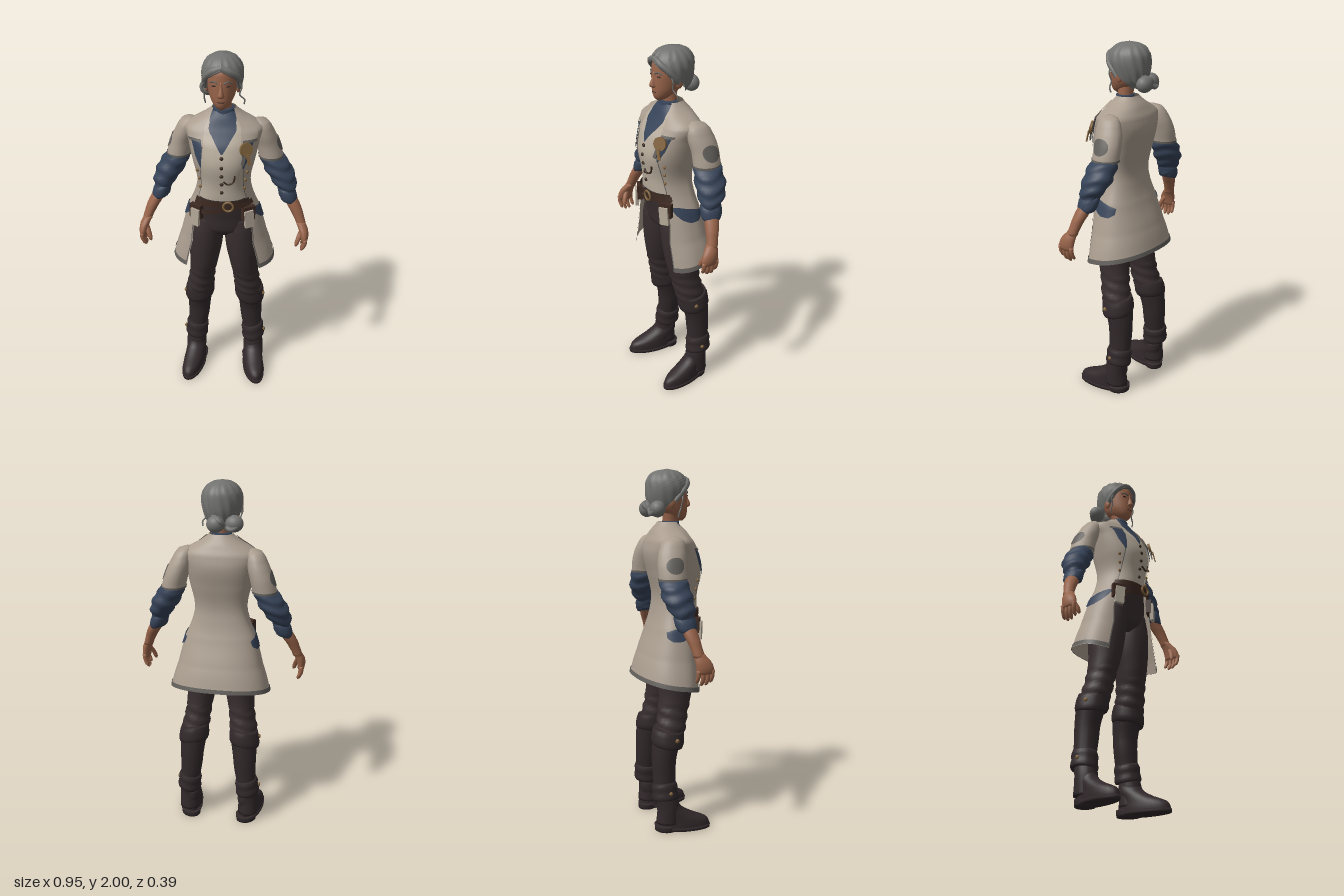
import * as THREE from 'three';

const mat = {};
for (const [name, color] of Object.entries({
  coat: 0xaa9d8f, shirt: 0x364358, skin: 0x98644a, hair: 0x727270, trousers: 0x382e2f,
  boots: 0x31282a, leather: 0x3d2a22, brass: 0x80623c, trim: 0x63605c, cream: 0xb5aa9a })) {
  mat[name] = new THREE.MeshStandardMaterial({ color, side: THREE.DoubleSide });
  mat[name].name = name;
}

// Surface through rows [y, x, z, rx, rzFront, rzBack], rows going up; angle 0 faces +z, PI/2 faces +x
function surf(rows, e = 1) {
  const r = rows.map(q => [...q.slice(0, 5), q[5] ?? q[4]]);
  return (y, a, off = 0) => {
    let i = 0;
    while (i < r.length - 2 && y > r[i + 1][0]) i++;
    const t = (y - r[i][0]) / (r[i + 1][0] - r[i][0]);
    const k = [1, 2, 3, 4, 5].map(c => {
      const p = j => r[Math.min(r.length - 1, Math.max(0, j))][c];
      const [p0, p1, p2, p3] = [p(i - 1), p(i), p(i + 1), p(i + 2)];
      return 0.5 * (2 * p1 + (p2 - p0) * t + (2 * p0 - 5 * p1 + 4 * p2 - p3) * t * t + (3 * p1 - p0 - 3 * p2 + p3) * t ** 3);
    });
    const o = typeof off === 'function' ? off(y, a) : off;
    const s = Math.sin(a), c = Math.cos(a), pw = v => Math.sign(v) * Math.abs(v) ** e;
    return new THREE.Vector3(k[0] + (k[2] + o) * pw(s), y, k[1] + ((c > 0 ? k[3] : k[4]) + o) * pw(c));
  };
}

// Strip of a surface between angles; spans are [y, a0, a1] going up
function panel(S, spans, off = 0, { n = 24, closed = false, warp } = {}) {
  const levels = [];
  spans.forEach((q, i) => {
    if (i === spans.length - 1) return levels.push(q);
    const w = spans[i + 1], m = Math.max(1, Math.ceil((w[0] - q[0]) / 0.014));
    for (let j = 0; j < m; j++) levels.push(q.map((v, c) => v + (w[c] - v) * j / m));
  });
  const pos = [], idx = [], cols = closed ? n : n + 1;
  for (const [y, a0, a1] of levels) for (let i = 0; i < cols; i++) {
    const a = a0 + (a1 - a0) * i / n, v = S(y, a, off);
    if (warp) warp(v, a);
    pos.push(v.x, v.y, v.z);
  }
  for (let j = 0; j < levels.length - 1; j++) for (let i = 0; i < n; i++) {
    const a = j * cols + i, b = j * cols + (i + 1) % cols;
    idx.push(a, b, b + cols, a, b + cols, a + cols);
  }
  if (closed) for (const j of [0, levels.length - 1]) {
    const c = pos.length / 3, sum = [0, 0, 0];
    for (let i = 0; i < n; i++) for (let k = 0; k < 3; k++) sum[k] += pos[(j * n + i) * 3 + k] / n;
    pos.push(...sum);
    for (let i = 0; i < n; i++) {
      const a = j * n + i, b = j * n + (i + 1) % n;
      j ? idx.push(a, b, c) : idx.push(b, a, c);
    }
  }
  const g = new THREE.BufferGeometry();
  g.setAttribute('position', new THREE.Float32BufferAttribute(pos, 3));
  g.setIndex(idx);
  g.computeVertexNormals();
  return g;
}
const loft = (rows, off = 0, o = {}) =>
  panel(surf(rows), rows.map(q => [q[0], 0, Math.PI * 2]), off, { n: 20, closed: true, ...o });
const flip = (rows, s) => rows.map(([y, x, ...q]) => [y, x * s, ...q]);
const spot = (y, a, h, w) => Array.from({ length: 13 }, (_, i) => {
  const t = Math.PI * (1 - i / 12), d = w * Math.sin(t);
  return [y + h * Math.cos(t), a - d, a + d];
});

export function createModel() {
  const root = new THREE.Group();
  root.name = 'character';
  const add = (name, geo, m, p) => {
    const mesh = new THREE.Mesh(geo, mat[m]);
    mesh.name = name;
    if (p) mesh.position.set(...p);
    root.add(mesh);
    return mesh;
  };
  const ball = (name, m, p, s) => add(name, new THREE.SphereGeometry(1, 20, 14), m, p).scale.set(...s);
  const tube = (name, m, pts, r) => add(name, new THREE.TubeGeometry(
    new THREE.CatmullRomCurve3(pts.map(p => new THREE.Vector3(...p))), 20, r, 8), m);
  const both = f => [1, -1].forEach(f);
  const span = (rows, s) => rows.map(([y, a, b]) => s > 0 ? [y, a, b] : [y, -b, -a]);

  // Torso form shared by coat, waistcoat and shirt
  const body = surf([[0.82, 0, 0, 0.29, 0.15, 0.205], [0.9, 0, 0, 0.275, 0.15, 0.19], [1.0, 0, 0, 0.24, 0.15, 0.16],
    [1.15, 0, 0, 0.195, 0.155, 0.11], [1.25, 0, 0, 0.155, 0.165, 0.085], [1.33, 0, 0, 0.145, 0.17, 0.08],
    [1.45, 0, 0, 0.17, 0.187, 0.105], [1.55, 0, 0, 0.19, 0.16, 0.125], [1.62, 0, 0, 0.205, 0.115, 0.115],
    [1.65, 0, 0, 0.165, 0.095, 0.1], [1.68, 0, 0, 0.11, 0.08, 0.085], [1.72, 0, 0.005, 0.062, 0.05, 0.06]], 0.87);
  const hang = (v, a) => { v.y -= 0.038 * (Math.cos(a) + 1) * THREE.MathUtils.clamp((1.1 - v.y) / 0.22, 0, 1); };
  const edge = [[0.87, 0.75], [1.0, 0.71], [1.15, 0.82], [1.26, 0.88], [1.34, 0.78], [1.45, 0.62], [1.55, 0.48],
    [1.62, 0.42], [1.68, 0.62], [1.72, 1.0]];
  const TAU = Math.PI * 2;
  add('coat', panel(body, edge.map(([y, a]) => [y, a, TAU - a]), 0, { n: 72, warp: hang }), 'coat');
  add('coatHem', panel(body, [[0.87, 0.75, TAU - 0.75], [0.893, 0.745, TAU - 0.745]], 0.004, { n: 72, warp: hang }), 'trim');
  add('waistcoat', panel(body, [[1.245, -1.2, 1.2], [1.4, -1.1, 1.1], [1.62, -1, 1], [1.7, -1.2, 1.2]], -0.006, { n: 40 }), 'cream');
  add('shirtFront', panel(body, [[1.52, -0.01, 0.01], [1.6, -0.22, 0.22], [1.66, -0.42, 0.42], [1.71, -0.9, 0.9]], -0.001), 'shirt');
  add('shirtCollar', loft([[1.64, 0, 0.012, 0.07, 0.065, 0.05], [1.68, 0, 0.015, 0.058, 0.055, 0.045],
    [1.725, 0, 0.018, 0.055, 0.045, 0.045]]), 'shirt');
  both(s => {
    add('shirtPanel', panel(body, span([[1.44, 0.62, 0.66], [1.5, 0.54, 0.82], [1.58, 0.5, 0.9], [1.605, 0.66, 0.8]], s), 0.005), 'shirt');
    add('lapel', panel(body, span([[1.585, 0.52, 0.95], [1.62, 0.42, 0.95], [1.655, 0.5, 1.0], [1.7, 0.85, 1.3]], s), 0.01), 'coat');
    add('lapelTrim', panel(body, span([[1.572, 0.5, 0.96], [1.585, 0.5, 0.97]], s), 0.011), 'trim');
    add('coatEdge', panel(body, span(edge.slice(0, 7).map(([y, a]) => [y, a, a + 0.03]), s), 0.004, { n: 3, warp: hang }), 'trim');
    add('pocketFlap', panel(body, span([[1.09, 1.5, 1.8], [1.11, 1.25, 2.05], [1.14, 1.05, 2.1], [1.165, 0.95, 1.5], [1.18, 0.95, 1.15]], s), 0.006), 'shirt');
    for (const y of [1.41, 1.36, 1.31]) ball('coatButton', 'brass', body(y, 0.87 * s, 0.004).toArray(), [0.009, 0.009, 0.007]);
  });
  for (const y of [1.5, 1.45, 1.4, 1.35, 1.3]) ball('button', 'leather', body(y, 0, -0.003).toArray(), [0.01, 0.01, 0.007]);
  tube('watchChain', 'leather', [[0.01, 1.37, 0.178], [0.035, 1.355, 0.178], [0.06, 1.365, 0.17], [0.07, 1.4, 0.17]], 0.005);

  // Rosette on the chest
  const badge = add('badge', new THREE.CylinderGeometry(0.036, 0.036, 0.014, 20), 'brass', [0.125, 1.545, 0.15]);
  badge.rotation.set(1.3, 0, -0.5);
  [-0.012, 0.014].forEach((d, i) => {
    const tail = add('badgeRibbon', new THREE.BoxGeometry(0.018, 0.06, 0.005), i ? 'brass' : 'trim', [0.125 + d, 1.495, 0.168]);
    tail.rotation.set(-0.2, 0.4, i ? 0.25 : -0.2);
  });

  // Hips, belts and pouches
  const hips = [[0.99, 0, 0.01, 0.08, 0.07, 0.07], [1.03, 0, 0.01, 0.165, 0.11, 0.1], [1.12, 0, 0, 0.178, 0.135, 0.1],
    [1.2, 0, 0, 0.16, 0.15, 0.085], [1.27, 0, 0, 0.14, 0.155, 0.075]];
  add('trouserHips', loft(hips, 0, { n: 32 }), 'trousers');
  const belt = (name, tilt, y, h, off) => add(name, panel(body, [[y, -1.0, 1.0], [y + h, -1.0, 1.0]], off,
    { n: 32, warp: v => { v.y += tilt * v.x; } }), 'leather');
  belt('belt', 0, 1.205, 0.042, 0.006);
  belt('slungBelt', 0.22, 1.18, 0.03, 0.011);
  add('beltBuckle', new THREE.TorusGeometry(0.026, 0.006, 8, 24), 'brass', [0.035, 1.222, 0.177]);
  both(s => {
    const pouch = add('pouch', new THREE.BoxGeometry(0.07, 0.08, 0.03), 'leather', [0.14 * s, 1.165, 0.125]);
    const note = add('notebook', new THREE.BoxGeometry(0.052, 0.1, 0.02), 'cream', [0.145 * s, 1.135, 0.14]);
    pouch.rotation.y = note.rotation.y = 0.5 * s;
    note.rotation.z = 0.08 * s;
  });

  both(s => {
    const L = (name, m, rows, off, o) => add(name, loft(flip(rows, s), off, o), m);
    // Arms
    const upper = [[1.425, 0.25, -0.055, 0.066, 0.075], [1.5, 0.232, -0.055, 0.064, 0.076], [1.56, 0.212, -0.045, 0.06, 0.076],
      [1.61, 0.197, -0.035, 0.05, 0.066], [1.637, 0.188, -0.03, 0.038, 0.048], [1.648, 0.178, -0.025, 0.015, 0.02]];
    L('coatSleeve', 'coat', upper);
    const patchS = surf(flip(upper, s));
    add('sleeveCuffTrim', panel(patchS, [[1.425, 0, TAU], [1.437, 0, TAU]], 0.003), 'trim');
    add('sleevePatch', panel(patchS, spot(1.505, s * Math.PI / 2, 0.042, 0.65), 0.004), 'trim');
    L('shirtSleeve', 'shirt', [[1.2, 0.35, -0.02, 0.044, 0.048], [1.25, 0.34, -0.025, 0.05, 0.056], [1.29, 0.325, -0.035, 0.066, 0.072],
      [1.33, 0.305, -0.045, 0.074, 0.08], [1.38, 0.28, -0.05, 0.076, 0.08], [1.43, 0.255, -0.055, 0.064, 0.073]],
      (y, a) => 0.005 * Math.sin(95 * y + 1.5 * Math.sin(a * 2)), { n: 28 });
    L('rolledCuff', 'shirt', [[1.18, 0.354, -0.015, 0.044, 0.05], [1.2, 0.352, -0.018, 0.051, 0.057],
      [1.235, 0.343, -0.022, 0.052, 0.059], [1.25, 0.34, -0.025, 0.046, 0.052]], 0, { warp: v => { v.y -= 0.25 * (v.x * s - 0.35); } });
    L('forearm', 'skin', [[1.05, 0.43, 0.025, 0.026, 0.03], [1.1, 0.412, 0.014, 0.03, 0.032], [1.15, 0.388, 0, 0.036, 0.038],
      [1.23, 0.345, -0.02, 0.04, 0.042]]);
    // Hands
    L('palm', 'skin', [[0.965, 0.45, 0.052, 0.018, 0.044], [0.99, 0.45, 0.052, 0.023, 0.048], [1.03, 0.442, 0.042, 0.026, 0.043],
      [1.07, 0.424, 0.024, 0.025, 0.03]]);
    [0.915, 0.9, 0.902, 0.915].forEach((tip, i) => {
      const z = 0.014 + i * 0.025;
      L('finger', 'skin', [[tip, 0.436, z - 0.004, 0.004, 0.004], [tip + 0.008, 0.44, z - 0.003, 0.01, 0.01],
        [tip + 0.035, 0.452, z, 0.0115, 0.0115], [0.985, 0.454, z, 0.013, 0.013]], 0, { n: 10 });
    });
    L('thumb', 'skin', [[0.94, 0.405, 0.083, 0.005, 0.005], [0.95, 0.408, 0.082, 0.011, 0.011], [0.985, 0.418, 0.072, 0.014, 0.014],
      [1.03, 0.435, 0.05, 0.014, 0.016]], 0, { n: 10 });

    // Legs and boots
    L('trouserLeg', 'trousers', [[0.5, 0.15, -0.05, 0.072, 0.08], [0.6, 0.14, -0.028, 0.078, 0.085], [0.68, 0.128, -0.012, 0.074, 0.085],
      [0.78, 0.115, 0.005, 0.08, 0.093], [0.9, 0.105, 0.01, 0.094, 0.105], [1.02, 0.096, 0.01, 0.095, 0.112], [1.1, 0.09, 0.01, 0.085, 0.105]],
      (y, a) => y < 0.72 ? 0.004 * Math.sin(100 * y + 2 * a) : 0);
    L('bootShaft', 'boots', [[0.05, 0.178, -0.055, 0.06, 0.068], [0.15, 0.178, -0.055, 0.058, 0.062], [0.25, 0.17, -0.073, 0.056, 0.062],
      [0.35, 0.16, -0.075, 0.063, 0.066], [0.43, 0.156, -0.072, 0.068, 0.07], [0.54, 0.15, -0.055, 0.077, 0.083]]);
    L('kneeCuff', 'boots', [[0.5, 0.152, -0.052, 0.082, 0.086], [0.52, 0.15, -0.05, 0.088, 0.092], [0.57, 0.147, -0.045, 0.084, 0.09],
      [0.595, 0.145, -0.04, 0.079, 0.085]], 0, { warp: v => { v.y += 0.15 * (-0.05 - v.z) - 0.12 * (v.x * s - 0.15); } });
    L('ankleCuff', 'boots', [[0.185, 0.178, -0.07, 0.064, 0.072], [0.2, 0.176, -0.072, 0.069, 0.076], [0.235, 0.173, -0.073, 0.064, 0.071],
      [0.26, 0.17, -0.074, 0.067, 0.074], [0.285, 0.167, -0.075, 0.06, 0.066]], 0, { warp: v => { v.y += 0.2 * (v.x * s - 0.17); } });
    ball('cuffStud', 'brass', [0.242 * s, 0.24, -0.06], [0.008, 0.011, 0.011]);
    ball('kneeStud', 'brass', [0.232 * s, 0.54, -0.02], [0.008, 0.012, 0.012]);
    const splay = { warp: v => { v.x += s * (0.15 * v.z + 0.002); }, n: 28 };
    L('foot', 'boots', [[0.012, 0.178, 0.03, 0.06, 0.15], [0.035, 0.178, 0.03, 0.061, 0.15], [0.065, 0.178, 0.022, 0.059, 0.138],
      [0.095, 0.178, -0.01, 0.057, 0.1], [0.13, 0.178, -0.045, 0.056, 0.072], [0.17, 0.178, -0.057, 0.05, 0.058]], 0, splay);
    L('sole', 'boots', [[0.004, 0.178, 0.03, 0.064, 0.155], [0.024, 0.178, 0.03, 0.065, 0.156]], 0, splay);
    L('heel', 'boots', [[0, 0.178, -0.068, 0.056, 0.058], [0.035, 0.178, -0.068, 0.06, 0.06]], 0, splay);
  });

  // Head and face
  const hx = -0.008;
  add('neck', loft([[1.65, 0, 0, 0.048, 0.046], [1.71, 0, 0.015, 0.042, 0.04], [1.78, hx, 0.015, 0.045, 0.045]]), 'skin');
  add('face', loft([[1.727, hx, 0.065, 0.012, 0.02, 0.02], [1.74, hx, 0.055, 0.034, 0.043, 0.04], [1.76, hx, 0.04, 0.05, 0.066, 0.06],
    [1.79, hx, 0.025, 0.065, 0.083, 0.08], [1.83, hx, 0.015, 0.074, 0.093, 0.09], [1.875, hx, 0.008, 0.08, 0.098, 0.1],
    [1.92, hx, 0, 0.08, 0.1, 0.1], [1.955, hx, 0, 0.065, 0.08, 0.08]], 0, { n: 28 }), 'skin');
  add('nose', loft([[1.798, hx, 0.1, 0.012, 0.014], [1.806, hx, 0.104, 0.019, 0.023], [1.82, hx, 0.104, 0.015, 0.023],
    [1.85, hx, 0.1, 0.009, 0.014], [1.88, hx, 0.095, 0.008, 0.012]]), 'skin');
  ball('lips', 'leather', [hx, 1.776, 0.1], [0.022, 0.006, 0.008]);
  both(s => {
    ball('eye', 'leather', [hx + 0.033 * s, 1.859, 0.095], [0.014, 0.005, 0.007]);
    tube('eyebrow', 'trim', [[hx + 0.014 * s, 1.873, 0.106], [hx + 0.035 * s, 1.881, 0.1], [hx + 0.055 * s, 1.874, 0.086]], 0.004);
    ball('ear', 'skin', [hx + 0.08 * s, 1.825, 0.0], [0.012, 0.03, 0.02]);
  });

  // Hair with centre parting, twin buns and loose strands
  const hairS = surf([[1.765, hx, -0.02, 0.055, 0.05, 0.065], [1.8, hx, -0.015, 0.082, 0.07, 0.09], [1.85, hx, -0.005, 0.1, 0.095, 0.115],
    [1.9, hx, 0, 0.108, 0.107, 0.123], [1.94, hx, -0.002, 0.1, 0.104, 0.117], [1.97, hx, -0.005, 0.08, 0.086, 0.095],
    [1.99, hx, -0.005, 0.05, 0.055, 0.062], [2.0, hx, -0.005, 0.002, 0.002, 0.002]]);
  const open = [[1.765, 2.1], [1.8, 1.8], [1.85, 1.35], [1.9, 0.95], [1.93, 0.5], [1.948, 0], [1.97, 0], [1.99, 0], [2.0, 0]];
  add('hair', panel(hairS, open.map(([y, a]) => [y, a, TAU - a]), (y, a) => y > 1.98 ? 0 : 0.003 * Math.sin(14 * a + 30 * y), { n: 64 }), 'hair');
  both(s => {
    tube('hairRoll', 'hair', [[hx, 1.948, 0.095], [hx + 0.045 * s, 1.93, 0.094], [hx + 0.08 * s, 1.895, 0.066],
      [hx + 0.088 * s, 1.86, 0.035], [hx + 0.086 * s, 1.83, 0.01]], 0.016);
    tube('hairRollEdge', 'trim', [[hx, 1.94, 0.108], [hx + 0.042 * s, 1.917, 0.103], [hx + 0.077 * s, 1.885, 0.072], [hx + 0.083 * s, 1.85, 0.045]], 0.005);
    tube('looseStrand', 'hair', [[hx + 0.085 * s, 1.87, 0.055], [hx + 0.1 * s, 1.84, 0.05], [hx + 0.09 * s, 1.8, 0.045],
      [hx + (s > 0 ? 0.115 : 0.09) * s, 1.77, 0.035], [hx + (s > 0 ? 0.112 : 0.085) * s, 1.745, 0.03]], 0.004);
  });
  ball('bun', 'hair', [0.005, 1.79, -0.115], [0.048, 0.044, 0.042]);
  ball('bun', 'hair', [-0.088, 1.79, -0.085], [0.048, 0.044, 0.042]);
  tube('bunTwist', 'hair', [[0.02, 1.83, -0.1], [-0.02, 1.81, -0.14], [-0.045, 1.78, -0.115], [-0.08, 1.765, -0.12], [-0.12, 1.79, -0.1]], 0.014);
  return root;
}
